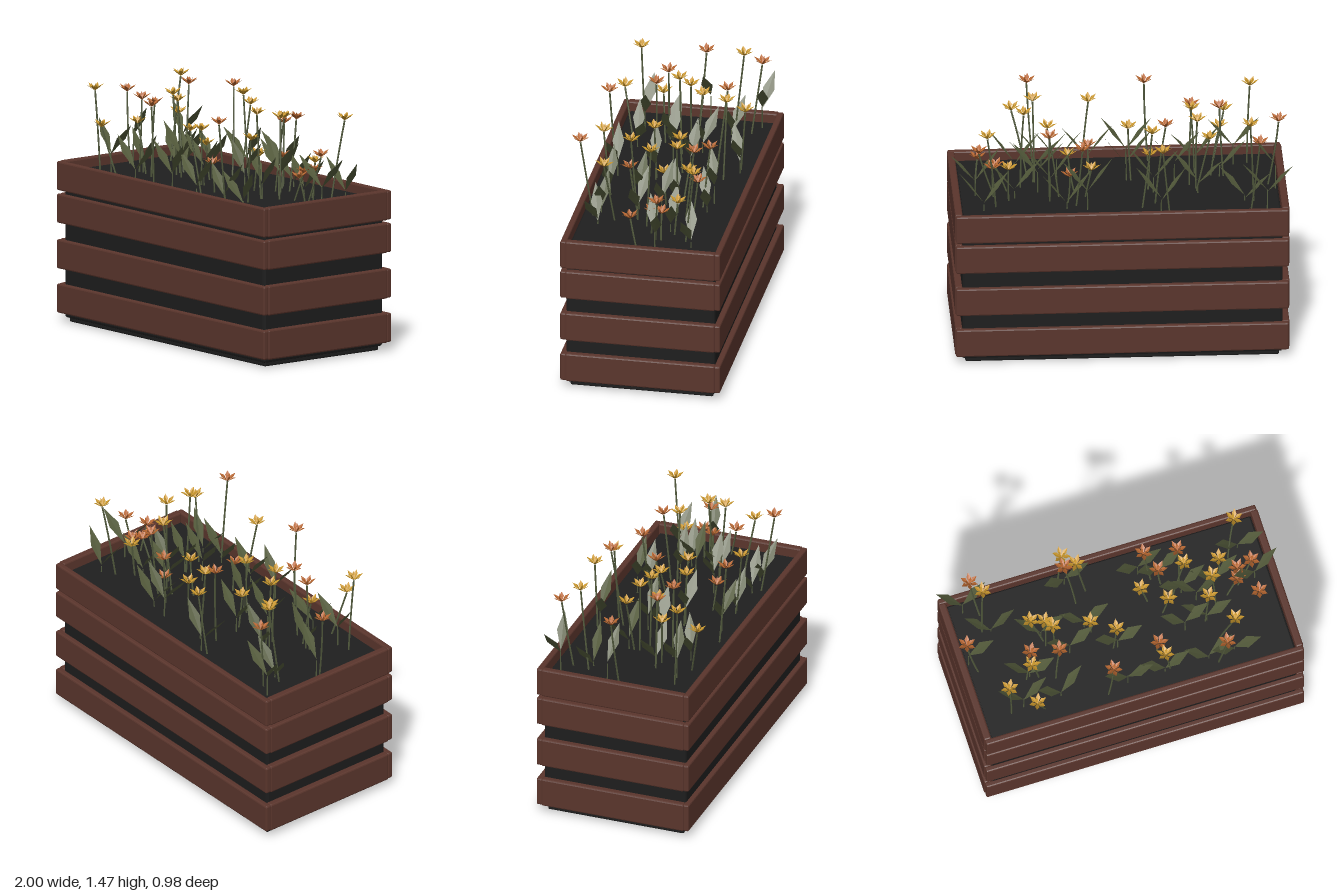
import * as THREE from 'three';
import { mergeGeometries } from 'three/addons/utils/BufferGeometryUtils.js';
import { RoundedBoxGeometry } from 'three/addons/geometries/RoundedBoxGeometry.js';

const mat = (name, color, side = THREE.FrontSide) => {
  const m = new THREE.MeshStandardMaterial({ color, side, flatShading: true });
  m.name = name;
  return m;
};

// small seeded generator, -1 .. 1
let seed = 7;
const rnd = () => {
  seed = (seed * 16807) % 2147483647;
  return (seed / 2147483647) * 2 - 1;
};

// pointed kite along +x: narrow root, wide middle, raised tip, creased on its midrib
function blade(length, width, midX, midY, tipY, fold) {
  const root = [0, 0, 0], tip = [length, tipY, 0], rib = [midX, midY, 0];
  const a = [midX, midY + fold, width / 2], b = [midX, midY + fold, -width / 2];
  const tris = [root, a, rib, rib, a, tip, root, rib, b, rib, tip, b];
  const g = new THREE.BufferGeometry();
  g.setAttribute('position', new THREE.Float32BufferAttribute(tris.flat(), 3));
  g.computeVertexNormals();
  return g;
}

// star blossom: an open ring of six petals and a small upright ring inside
function blossom() {
  const petals = [];
  for (let i = 0; i < 6; i++) {
    petals.push(blade(0.055, 0.028, 0.03, 0.021, 0.04, 0.004).rotateY((i * Math.PI) / 3));
  }
  for (let i = 0; i < 3; i++) {
    petals.push(blade(0.024, 0.018, 0.015, 0.024, 0.046, 0.002).rotateY((i * Math.PI) / 1.5 + 0.5));
  }
  return mergeGeometries(petals);
}

// blossom tops: x, height, z
const YELLOW = [
  [-0.76, 1.46, -0.29], [-0.79, 1.44, 0.33], [-0.64, 1.25, 0.4], [-0.6, 1.25, 0.16],
  [-0.53, 1.29, -0.09], [-0.46, 1.38, -0.03], [-0.43, 1.43, 0.03], [-0.24, 1.35, -0.4],
  [-0.18, 1.43, -0.3], [-0.18, 1.16, -0.02], [-0.06, 1.28, 0.11], [0.17, 1.13, -0.14],
  [0.16, 1.34, 0.37], [0.3, 1.17, -0.02], [0.43, 1.4, -0.12], [0.5, 1.46, 0.14],
  [0.56, 1.43, 0.01], [0.62, 1.34, 0.28], [0.66, 1.16, -0.17], [0.79, 1.42, -0.29],
];
const ORANGE = [
  [-0.94, 1.37, -0.03], [-0.81, 1.39, -0.39], [-0.6, 1.39, 0.13], [-0.43, 1.39, 0.17],
  [-0.26, 1.47, -0.29], [-0.17, 1.44, 0.4], [0.23, 1.32, -0.28], [0.3, 1.13, -0.22],
  [0.42, 1.38, -0.22], [0.17, 1.12, 0.21], [0.52, 1.44, 0.44], [0.75, 1.13, -0.09],
  [0.73, 1.12, -0.03], [0.83, 1.23, -0.08], [0.83, 1.12, 0.08],
];

// centres of the leaf pairs: x, z
const LEAVES = [
  [-0.73, -0.22], [-0.855, -0.38], [-0.92, -0.06], [-0.6, 0.12], [-0.69, 0.29], [-0.46, 0.29],
  [-0.46, -0.1], [-0.33, 0.05], [-0.2, -0.08], [-0.05, 0.1], [-0.23, -0.37], [0.2, -0.3],
  [0.32, -0.28], [0.41, -0.11], [0.62, -0.12], [0.48, -0.04], [0.6, 0.32], [0.44, 0.33],
  [0.17, 0.33], [-0.06, 0.33], [0.5, 0.1], [0.36, 0.12], [0.81, -0.28], [0.85, -0.07],
];

export function createModel() {
  seed = 7;
  const model = new THREE.Group();
  model.name = 'flowerPlanter';
  const wood = mat('reddish brown wood', 0x5a352c);
  const black = mat('black liner', 0x1d1d1d);
  const soilMat = mat('dark soil', 0x1f1f1f);
  const leafGreen = mat('leaf green', 0x555c3c, THREE.DoubleSide);
  const stemGreen = mat('stem green', 0x525a3d);
  const yellow = mat('yellow petals', 0xc8962c, THREE.DoubleSide);
  const orange = mat('orange petals', 0xb5652f, THREE.DoubleSide);

  const add = (geometry, material, name, parent = model) => {
    const mesh = new THREE.Mesh(geometry, material);
    mesh.name = name;
    parent.add(mesh);
    return mesh;
  };
  const block = (x0, x1, y0, y1, z0, z1, r, material, name, parent) => {
    const g = new RoundedBoxGeometry(x1 - x0, y1 - y0, z1 - z0, 1, r);
    add(g, material, name, parent).position.set((x0 + x1) / 2, (y0 + y1) / 2, (z0 + z1) / 2);
  };

  // inner box, foot and soil
  block(-0.94, 0.948, 0.025, 0.895, -0.452, 0.442, 0.015, black, 'liner');
  block(-0.92, 0.928, 0, 0.06, -0.435, 0.42, 0.008, black, 'foot');
  add(new THREE.BoxGeometry(1.86, 0.02, 0.86), soilMat, 'soil').position.set(0.004, 0.895, -0.007);

  // four courses of wooden slats
  for (const y of [0.052, 0.317, 0.59, 0.785]) {
    const course = new THREE.Group();
    course.name = 'slatCourse';
    course.position.x = 0.004;
    model.add(course);
    block(-0.981, 0.981, y, y + 0.174, 0.435, 0.472, 0.009, wood, 'frontSlat', course);
    block(-0.981, 0.981, y, y + 0.174, -0.487, -0.45, 0.009, wood, 'backSlat', course);
    for (const s of [-1, 1]) {
      block(s * 0.963 - 0.022, s * 0.963 + 0.022, y - 0.002, y + 0.176, -0.455, 0.44, 0.009,
        wood, s > 0 ? 'leftSlat' : 'rightSlat', course);
    }
  }

  // flowers on slightly bent, outward leaning stems
  const head = blossom();
  const plant = ([x, y, z], petals) => {
    const flower = new THREE.Group();
    flower.name = 'flower';
    model.add(flower);
    const top = new THREE.Vector3(x, y - 0.048, z);
    const base = new THREE.Vector3(
      THREE.MathUtils.clamp(x * 0.95 + rnd() * 0.06, -0.88, 0.88), 0.89,
      THREE.MathUtils.clamp(z * 0.88 + rnd() * 0.03, -0.4, 0.37));
    const mid = base.clone().lerp(top, 0.55);
    mid.x += rnd() * 0.012;
    const curve = new THREE.QuadraticBezierCurve3(base, mid, top);
    add(new THREE.TubeGeometry(curve, 5, 0.0055, 5), stemGreen, 'stem', flower);
    const bloom = add(head, petals, 'blossom', flower);
    bloom.position.copy(top);
    bloom.rotation.set(rnd() * 0.08, rnd() * 3, rnd() * 0.08);
  };
  YELLOW.forEach((p) => plant(p, yellow));
  ORANGE.forEach((p) => plant(p, orange));

  // pairs of steep leaves spreading to both sides, each pair on a short stalk
  const leaf = blade(0.15, 0.07, 0.075, 0.096, 0.19, 0.003);
  for (const [x, z] of LEAVES) {
    const pair = new THREE.Group();
    pair.name = 'leafPair';
    const y = 0.99 + rnd() * 0.06;
    pair.position.set(x, y, z);
    model.add(pair);
    const stalk = y - 0.89;
    add(new THREE.CylinderGeometry(0.003, 0.005, stalk, 5), stemGreen, 'leafStalk', pair)
      .position.y = -stalk / 2;
    for (const side of [-1, 1]) {
      if (Math.abs(x + side * 0.15) > 1.01) continue;
      const blade = add(leaf, leafGreen, 'leaf', pair);
      blade.rotation.y = (side < 0 ? Math.PI : 0) + rnd() * 0.22;
      blade.rotation.x = rnd() * 0.2;
      blade.position.y = rnd() * 0.02;
    }
  }
  return model;
}
